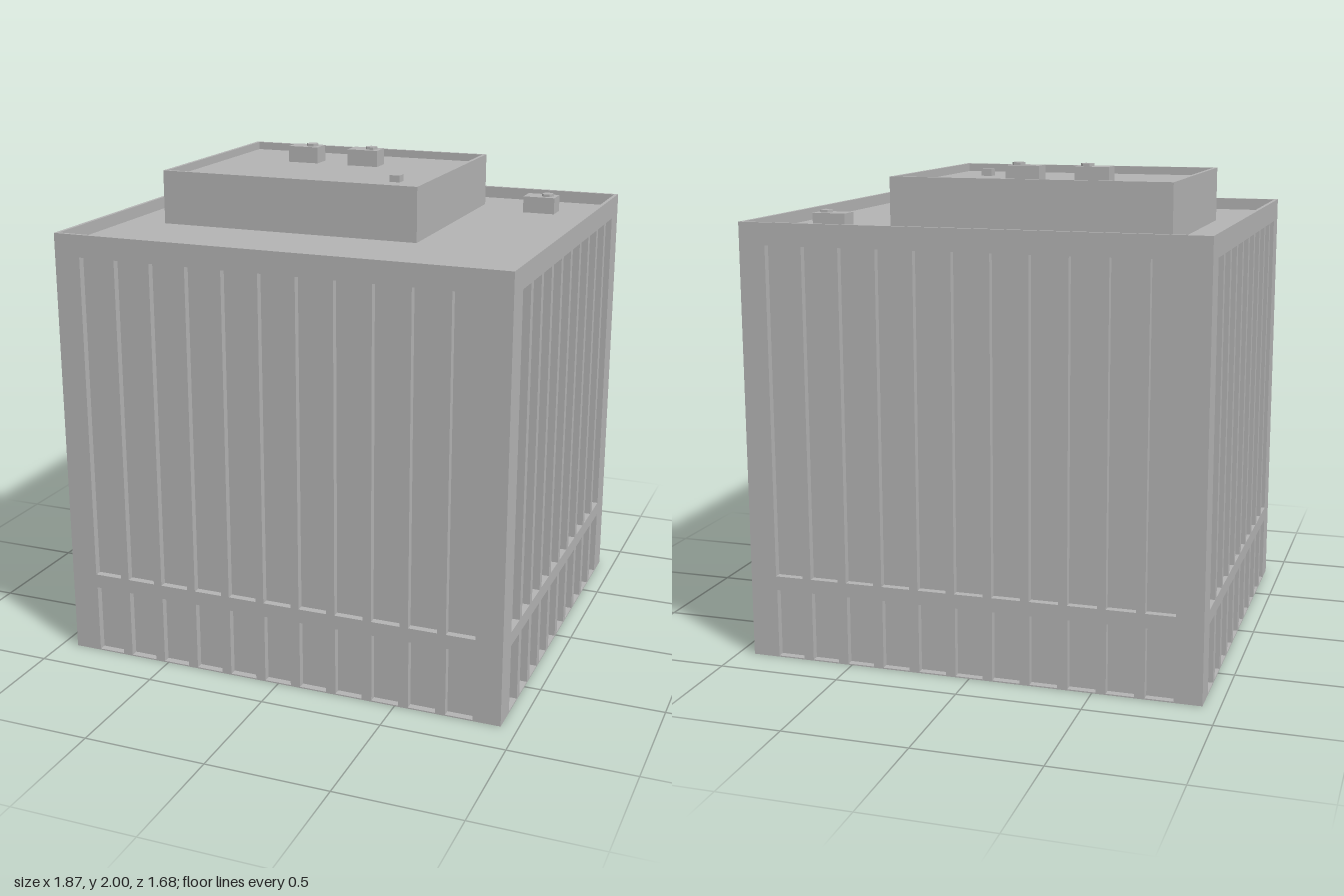
import * as THREE from 'three';
import { mergeGeometries } from 'three/addons/utils/BufferGeometryUtils.js';

const W = 1.866, D = 1.682, TOP = 1.78;   // main block
const RIM = 0.015;                        // parapet thickness
const RECESS = 0.03;                      // window depth
const concrete = new THREE.MeshStandardMaterial({ color: 0xb2b2b2, side: THREE.DoubleSide });
concrete.name = 'concrete';

function mesh(name, geometry, x = 0, y = 0, z = 0) {
  const m = new THREE.Mesh(geometry, concrete);
  m.name = name;
  m.position.set(x, y, z);
  return m;
}

// Box without some faces (0 +x, 1 -x, 2 +y, 3 -y, 4 +z, 5 -z), optionally turned inside out
function openBox(w, h, d, drop, inward) {
  const g = new THREE.BoxGeometry(w, h, d);
  let index = Array.from(g.index.array).filter((_, i) => !drop.includes(Math.floor(i / 6)));
  if (inward) index = index.reverse();
  g.setIndex(index);
  g.clearGroups();
  if (inward) g.computeVertexNormals();
  return g;
}

function rect(target, x0, y0, x1, y1) {
  target.moveTo(x0, y0);
  target.lineTo(x1, y0);
  target.lineTo(x1, y1);
  target.lineTo(x0, y1);
  target.closePath();
  return target;
}

// Facade with two rows of recessed windows, facing +z
function facade(width, count, pitch) {
  const shape = rect(new THREE.Shape(), -width / 2, 0, width / 2, TOP);
  const parts = [];
  const rows = [[0.112, 0.005, 0.287], [0.118, 0.345, 1.69]];
  for (const [w, y0, y1] of rows) {
    for (let i = 0; i < count; i++) {
      const x = (i - (count - 1) / 2) * pitch;
      shape.holes.push(rect(new THREE.Path(), x - w / 2, y0, x + w / 2, y1));
      parts.push(openBox(w, y1 - y0, RECESS, [4], true).translate(x, (y0 + y1) / 2, -RECESS / 2));
    }
  }
  return mergeGeometries([new THREE.ShapeGeometry(shape), ...parts]);
}

// Flat parapet top, inner parapet faces and the sunken roof deck; origin at the rim
function roofTray(w, d, depth) {
  const ring = rect(new THREE.Shape(), -w / 2, -d / 2, w / 2, d / 2);
  ring.holes.push(rect(new THREE.Path(), -w / 2 + RIM, -d / 2 + RIM, w / 2 - RIM, d / 2 - RIM));
  return mergeGeometries([
    new THREE.ShapeGeometry(ring).rotateX(-Math.PI / 2),
    openBox(w - 2 * RIM, depth, d - 2 * RIM, [2], true).translate(0, -depth / 2, 0),
  ]);
}

// Rooftop air unit with a hexagonal fan
function airUnit(x, y, z) {
  const unit = new THREE.Group();
  unit.name = 'airUnit';
  unit.position.set(x, y, z);
  unit.add(mesh('unitCase', new THREE.BoxGeometry(0.138, 0.07, 0.09), 0, 0.035, 0));
  const fan = new THREE.CylinderGeometry(0.027, 0.027, 0.012, 6).rotateY(Math.PI / 6).toNonIndexed();
  fan.computeVertexNormals();
  unit.add(mesh('unitFan', fan, 0.028, 0.075, 0));
  return unit;
}

export function createModel() {
  const model = new THREE.Group();
  model.name = 'officeBlock';

  // Four facades, open underneath
  const wide = facade(W, 11, 0.153), narrow = facade(D, 10, 0.149);
  ['frontWall', 'leftWall', 'backWall', 'rightWall'].forEach((name, i) => {
    const a = i * Math.PI / 2, side = i % 2 === 1, r = (side ? W : D) / 2;
    const wall = mesh(name, side ? narrow : wide, Math.sin(a) * r, 0, Math.cos(a) * r);
    wall.rotation.y = a;
    model.add(wall);
  });
  const deck = 1.73;
  model.add(mesh('mainRoof', roofTray(W, D, TOP - deck), 0, TOP, 0));

  // Penthouse
  const pw = 1.12, pd = 0.93, px = -0.187, pz = -0.188, pTop = 1.953, pDeck = 1.92;
  model.add(mesh('penthouseWalls', openBox(pw, pTop - deck, pd, [2, 3], false), px, (deck + pTop) / 2, pz));
  model.add(mesh('penthouseRoof', roofTray(pw, pd, pTop - pDeck), px, pTop, pz));

  // Rooftop equipment
  model.add(airUnit(-0.376, pDeck, -0.376), airUnit(-0.095, pDeck, -0.376), airUnit(0.654, deck, -0.565));
  model.add(mesh('roofVent', new THREE.BoxGeometry(0.045, 0.028, 0.045), 0.183, pDeck + 0.014, -0.006));
  return model;
}
